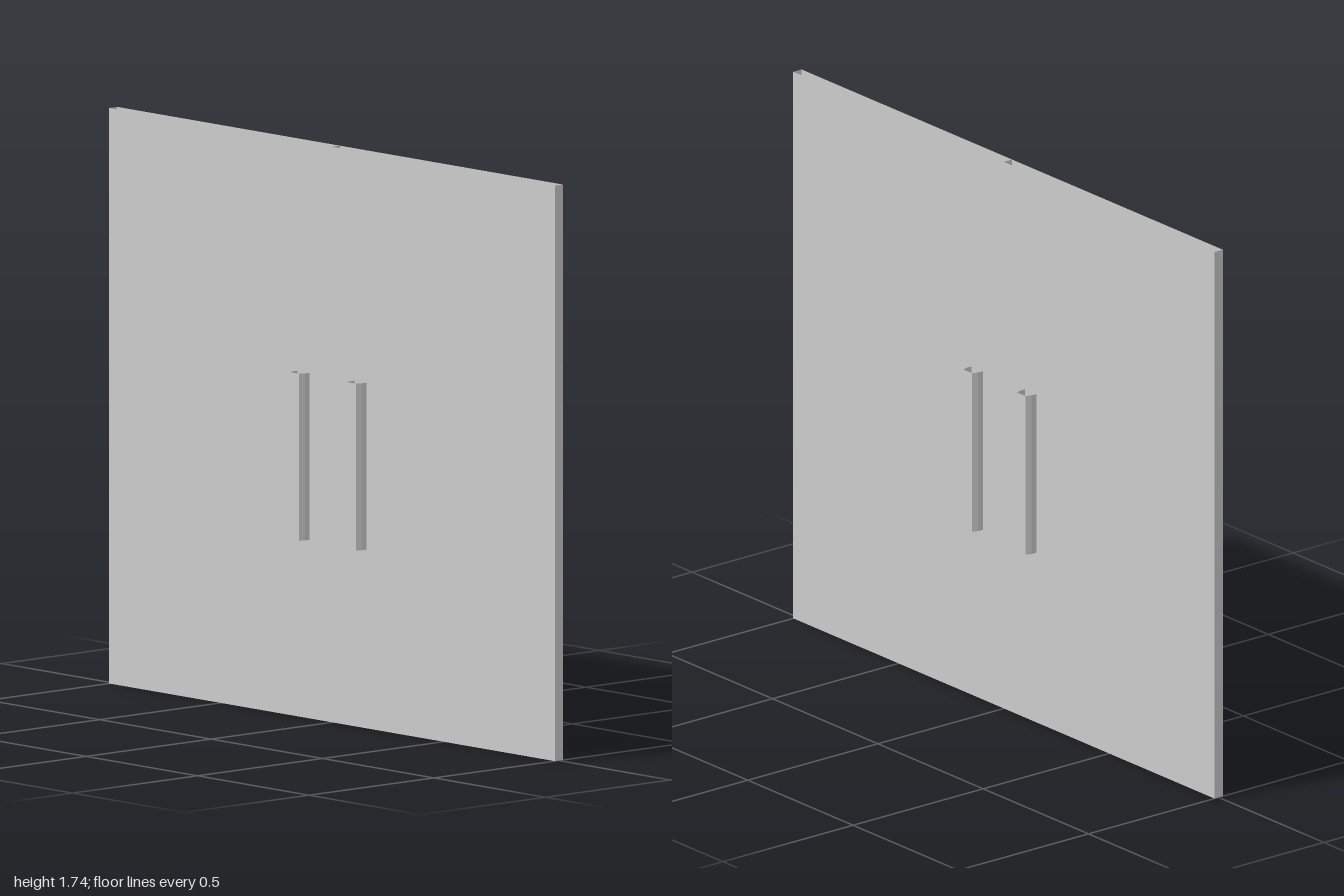
import * as THREE from 'three';

const HEIGHT = 1.74, HALF = 0.016;

// Upright sheet walls following an [x, z] outline, open at top and bottom
function walls(name, outline, y0, y1, closed) {
  const pos = [];
  const count = closed ? outline.length : outline.length - 1;
  for (let i = 0; i < count; i++) {
    const [ax, az] = outline[i], [bx, bz] = outline[(i + 1) % outline.length];
    pos.push(ax, y0, az, bx, y0, bz, bx, y1, bz, ax, y0, az, bx, y1, bz, ax, y1, az);
  }
  const geo = new THREE.BufferGeometry();
  geo.setAttribute('position', new THREE.Float32BufferAttribute(pos, 3));
  geo.computeVertexNormals();
  const mat = new THREE.MeshStandardMaterial({ color: 0xcccccc, side: THREE.DoubleSide, flatShading: true });
  const mesh = new THREE.Mesh(geo, mat);
  mesh.name = name;
  return mesh;
}

export function createModel() {
  const model = new THREE.Group();
  model.name = 'doubleDoor';

  // Two door leaves meeting at z = 0
  for (const [name, z0, z1] of [['frontLeaf', 0, 1], ['backLeaf', -1, 0]]) {
    model.add(walls(name, [[-HALF, z1], [HALF, z1], [HALF, z0], [-HALF, z0]], 0, HEIGHT, true));
  }

  // Bevelled pull handles, two on each face
  const w = 0.027, inset = 0.007;
  const profile = [[HALF, w], [0.034, w], [0.052, w - inset], [0.052, inset - w], [0.034, -w], [HALF, -w]];
  for (const side of [1, -1]) {
    for (const z of [0.127, -0.127]) {
      const handle = walls((side > 0 ? 'left' : 'right') + (z > 0 ? 'Front' : 'Back') + 'Handle', profile, 0.54, 1.045, false);
      handle.rotation.y = side > 0 ? 0 : Math.PI;
      handle.position.z = z;
      model.add(handle);
    }
  }
  return model;
}
